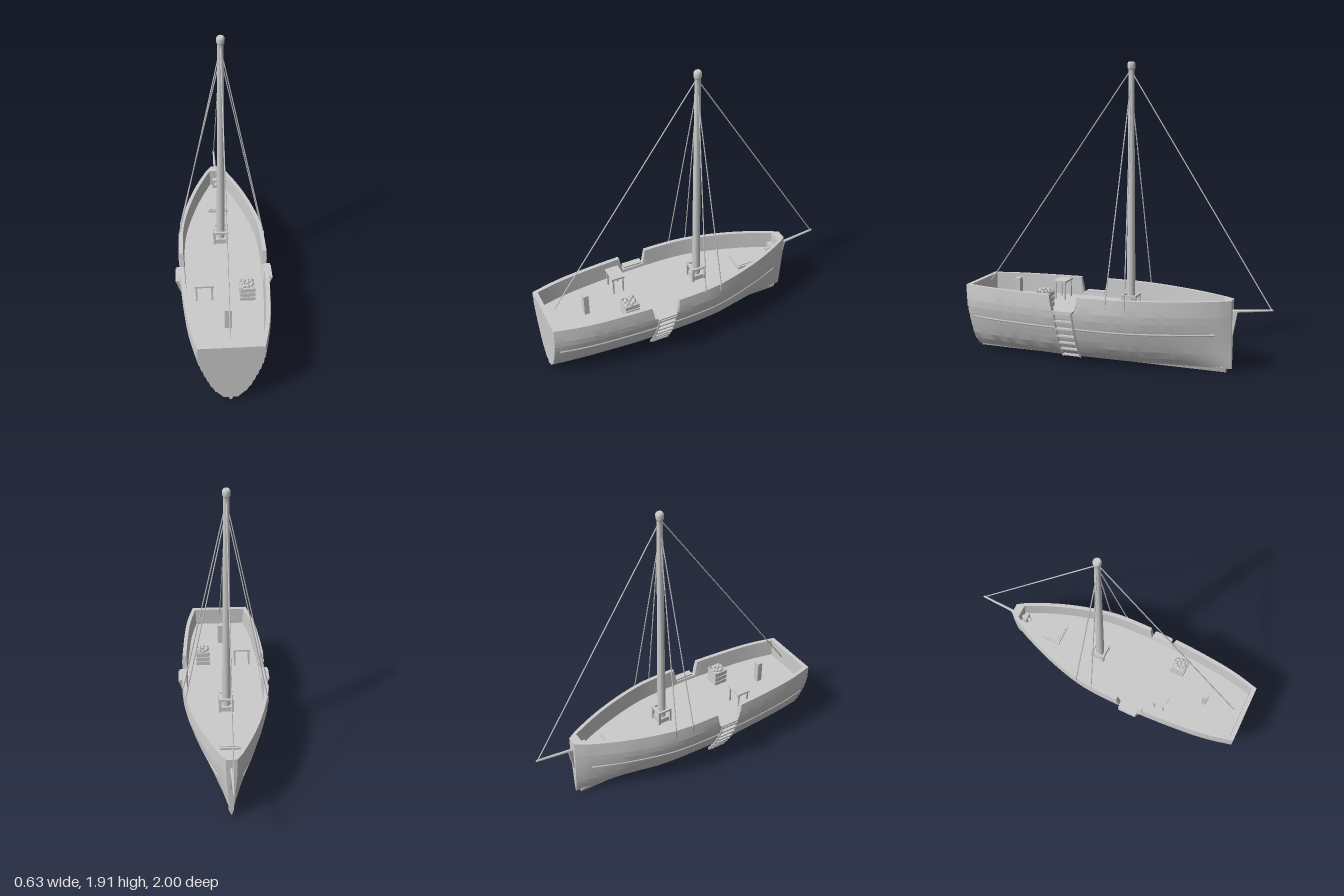
import * as THREE from 'three';
import { toCreasedNormals } from 'three/addons/utils/BufferGeometryUtils.js';

const DECK = 0.345, RAIL = 0.468, WALL = 0.026, MAST_Z = -0.08;
const V = (x, y, z) => new THREE.Vector3(x, y, z);

// Piecewise linear or smooth lookup in a short list of [key, value]
function lookup(table, k, smooth) {
  if (k <= table[0][0]) return table[0][1];
  for (let i = 1; i < table.length; i++) {
    const [k0, a] = table[i - 1], [k1, b] = table[i];
    if (k > k1) continue;
    const t = (k - k0) / (k1 - k0);
    if (!smooth) return a + (b - a) * t;
    const [kp, p] = table[Math.max(0, i - 2)], [kn, n] = table[Math.min(table.length - 1, i + 1)];
    const m0 = (b - p) / (k1 - kp) * (k1 - k0), m1 = (n - a) / (kn - k0) * (k1 - k0);
    const t2 = t * t, t3 = t2 * t;
    return (2 * t3 - 3 * t2 + 1) * a + (t3 - 2 * t2 + t) * m0 + (3 * t2 - 2 * t3) * b + (t3 - t2) * m1;
  }
  return table[table.length - 1][1];
}

// Half width at the rail along the length, and its share at each height
const PLAN = [[-0.745, 0.034], [-0.69, 0.07], [-0.5, 0.158], [-0.3, 0.226], [-0.1, 0.272],
  [0.1, 0.285], [0.4, 0.28], [0.7, 0.258], [0.85, 0.236], [1, 0.2]];
const SECTION = [[0.025, 0.3], [0.05, 0.42], [0.1, 0.59], [0.2, 0.78], [0.3, 0.925], [0.37, 0.985], [RAIL, 1]];
const FULLNESS = [[-0.745, 1.7], [-0.2, 1.05], [0.4, 1], [1, 1.25]];
// The rail drops at the boarding gates
const SHEER = [[0.18, RAIL], [0.2, 0.365], [0.35, 0.365], [0.37, RAIL]];

const hullX = (z, y) =>
  lookup(PLAN, z, true) * Math.pow(lookup(SECTION, y, true), lookup(FULLNESS, z));

// Closed cross-section with overlapping planks outside and the deck inside
function section(z, solid) {
  const top = lookup(SHEER, z), n = 9, half = [[0, 0.025]];
  for (let i = 0; i < n; i++) {
    const y0 = 0.025 + (RAIL - 0.025) * i / n, y1 = 0.025 + (RAIL - 0.025) * (i + 1) / n;
    const lap = Math.min(0.006, lookup(PLAN, z, true) * 0.04);
    half.push([hullX(z, Math.min(y0, top)) + (i ? lap : 0), Math.min(y0, top)]);
    half.push([hullX(z, Math.min(y1, top)), Math.min(y1, top)]);
  }
  half.push([solid ? 0 : hullX(z, top) - WALL, top]);
  half.push([solid ? 0 : hullX(z, DECK) - WALL, solid ? top : DECK]);
  half.push([0, solid ? top : DECK]);
  const mirror = half.slice(1, -1).reverse().map(([x, y]) => [-x, y]);
  return half.concat(mirror).map(([x, y]) => V(x, y, z));
}

function hullGeometry() {
  const zs = [-0.67, -0.63, 0.18, 0.2, 0.35, 0.37];
  for (let i = 0; i <= 30; i++) zs.push(-0.59 + i * 0.05);
  zs.sort((a, b) => a - b);
  const rings = [section(-0.745, true), section(-0.69, true), section(-0.69, false)];
  zs.forEach(z => rings.push(section(z, false)));
  rings.push(section(0.97, false), section(0.97, true), section(1, true));
  const pos = [], n = rings[0].length;
  const tri = (...ps) => ps.forEach(p => pos.push(p.x, p.y, p.z));
  for (let i = 0; i < rings.length - 1; i++) {
    for (let j = 0; j < n; j++) {
      const k = (j + 1) % n, a = rings[i][j], b = rings[i][k], c = rings[i + 1][k], d = rings[i + 1][j];
      tri(a, b, c);
      tri(a, c, d);
    }
  }
  const bow = rings[0], stern = rings[rings.length - 1];
  for (let j = 0; j < n; j++) {
    const k = (j + 1) % n;
    tri(V(0, 0.25, -0.745), bow[k], bow[j]);
    tri(V(0, 0.25, 1), stern[j], stern[k]);
  }
  const g = new THREE.BufferGeometry();
  g.setAttribute('position', new THREE.Float32BufferAttribute(pos, 3));
  return toCreasedNormals(g, 0.35);
}

export function createModel() {
  const model = new THREE.Group();
  const mat = new THREE.MeshStandardMaterial({ color: 0xcccccc });
  const dark = new THREE.MeshStandardMaterial({ color: 0xcccccc, flatShading: true });

  const add = (name, geo, parent = model, m = mat) => {
    const mesh = new THREE.Mesh(geo, m);
    mesh.name = name;
    parent.add(mesh);
    return mesh;
  };
  const group = (name, x = 0, y = 0, z = 0) => {
    const g = new THREE.Group();
    g.name = name;
    g.position.set(x, y, z);
    model.add(g);
    return g;
  };
  const box = (name, w, h, d, x, y, z, parent) => {
    const mesh = add(name, new THREE.BoxGeometry(w, h, d), parent);
    mesh.position.set(x, y, z);
    return mesh;
  };
  // Round bar between two points
  const bar = (name, a, b, r0, r1 = r0, sides = 6, parent = model) => {
    const dir = b.clone().sub(a);
    const mesh = add(name, new THREE.CylinderGeometry(r1, r0, dir.length(), sides), parent);
    mesh.position.copy(a).add(b).multiplyScalar(0.5);
    mesh.quaternion.setFromUnitVectors(V(0, 1, 0), dir.normalize());
    return mesh;
  };

  // Hull, keel and stem
  add('hull', hullGeometry());
  const keel = new THREE.Shape([[-0.016, 0.03], [-0.006, 0], [0.006, 0], [0.016, 0.03]].map(p => new THREE.Vector2(...p)));
  add('keel', new THREE.ExtrudeGeometry(keel, { depth: 1.71, bevelEnabled: false }), model, dark).position.z = -0.71;
  const stem = new THREE.Shape([[0.74, 0.2], [0.776, 0.395], [0.74, 0.395]].map(p => new THREE.Vector2(...p)));
  const stemMesh = add('stem', new THREE.ExtrudeGeometry(stem, { depth: 0.02, bevelEnabled: false }));
  stemMesh.rotation.y = Math.PI / 2;
  stemMesh.position.x = -0.01;

  // Rubbing strakes, chainplates, shrouds and ladders on both sides
  for (const s of [1, -1]) {
    const path = [];
    for (let i = 0; i <= 16; i++) {
      const z = -0.65 + i * 0.101;
      path.push(V(s * (hullX(z, 0.25) + 0.002), 0.25, z));
    }
    add('rubbingStrake', new THREE.TubeGeometry(new THREE.CatmullRomCurve3(path), 40, 0.007, 5));

    [[-0.01, 1.78], [-0.13, 1.72]].forEach(([z, y]) => {
      const x = s * (hullX(z, 0.45) + 0.002);
      bar('shroud', V(x, 0.46, z), V(s * 0.012, y, MAST_Z), 0.004);
      box('chainplate', 0.008, 0.055, 0.01, x, 0.438, z);
    });

    const ladder = group('ladder');
    const rail = new THREE.CatmullRomCurve3(
      [[0.15, 0.04], [0.235, 0.18], [0.277, 0.28], [0.306, 0.37]].map(([x, y]) => V(s * x, y, 0)));
    for (const z of [0.21, 0.33]) {
      add('ladderRail', new THREE.TubeGeometry(rail, 12, 0.008, 4), ladder).position.z = z;
    }
    for (let i = 0; i < 7; i++) {
      const p = rail.getPointAt(0.04 + i * 0.155);
      box('ladderRung', 0.022, 0.01, 0.12, p.x, p.y, 0.27, ladder);
    }
    box('ladderHook', 0.045, 0.01, 0.13, s * 0.285, 0.37, 0.27, ladder);
  }

  // Mast with its cap
  const mast = [[0, DECK], [0.028, DECK], [0.019, 1.83], [0.019, 1.865], [0.025, 1.875], [0.025, 1.905], [0.018, 1.915], [0, 1.915]];
  const mastGeo = new THREE.LatheGeometry(mast.map(p => new THREE.Vector2(...p)), 12);
  add('mast', toCreasedNormals(mastGeo, 0.6)).position.z = MAST_Z;

  // Pin rack around the foot of the mast
  const rack = group('mastRack', 0, DECK, MAST_Z);
  box('rackBase', 0.08, 0.035, 0.08, 0, 0.017, 0, rack);
  for (const s of [1, -1]) {
    for (const t of [1, -1]) box('rackPost', 0.014, 0.105, 0.014, s * 0.042, 0.052, t * 0.042, rack);
    box('rackRail', 0.014, 0.014, 0.1, s * 0.042, 0.095, 0, rack);
    box('rackRail', 0.1, 0.014, 0.014, 0, 0.095, s * 0.042, rack);
  }

  // Bowsprit, its step, and the stays
  bar('bowsprit', V(0, 0.38, -0.62), V(0, 0.424, -0.995), 0.012, 0.007, 8);
  box('bowspritStep', 0.05, 0.07, 0.03, 0, DECK + 0.035, -0.66);
  bar('forestay', V(0, 0.425, -0.985), V(0, 1.84, -0.09), 0.004);
  bar('backstay', V(0, 0.46, 0.92), V(0, 1.85, -0.065), 0.004);

  // Fore hatch
  const hatch = group('hatch', 0, DECK, -0.44);
  box('hatchFrame', 0.14, 0.016, 0.14, 0, 0.008, 0, hatch);
  box('hatchLid', 0.12, 0.008, 0.12, 0, 0.018, 0, hatch);

  // Stern post
  box('sternPost', 0.044, 0.15, 0.034, 0, DECK + 0.074, 0.715);

  // Table
  const table = group('table', -0.135, DECK, 0.452);
  box('tableTop', 0.122, 0.012, 0.09, 0, 0.122, 0, table);
  for (const s of [1, -1]) for (const t of [1, -1]) {
    box('tableLeg', 0.01, 0.118, 0.01, s * 0.05, 0.059, t * 0.034, table);
  }

  // Slatted crate filled with fruit
  const crate = group('crate', 0.138, DECK, 0.463);
  box('crateFilling', 0.08, 0.09, 0.08, 0, 0.05, 0, crate);
  for (const s of [1, -1]) {
    for (const t of [1, -1]) box('cratePost', 0.01, 0.112, 0.01, s * 0.038, 0.056, t * 0.038, crate);
    for (let i = 0; i < 3; i++) {
      box('crateSlat', 0.006, 0.026, 0.094, s * 0.045, 0.018 + i * 0.037, 0, crate);
      box('crateSlat', 0.094, 0.026, 0.006, 0, 0.018 + i * 0.037, s * 0.045, crate);
    }
  }
  for (let i = 0; i < 9; i++) {
    const a = i * Math.PI / 4, r = i < 8 ? 0.029 : 0;
    add('fruit', new THREE.SphereGeometry(0.013, 8, 6), crate)
      .position.set(r * Math.cos(a), i < 8 ? 0.107 + (i % 3) * 0.004 : 0.121, r * Math.sin(a));
  }
  return model;
}
